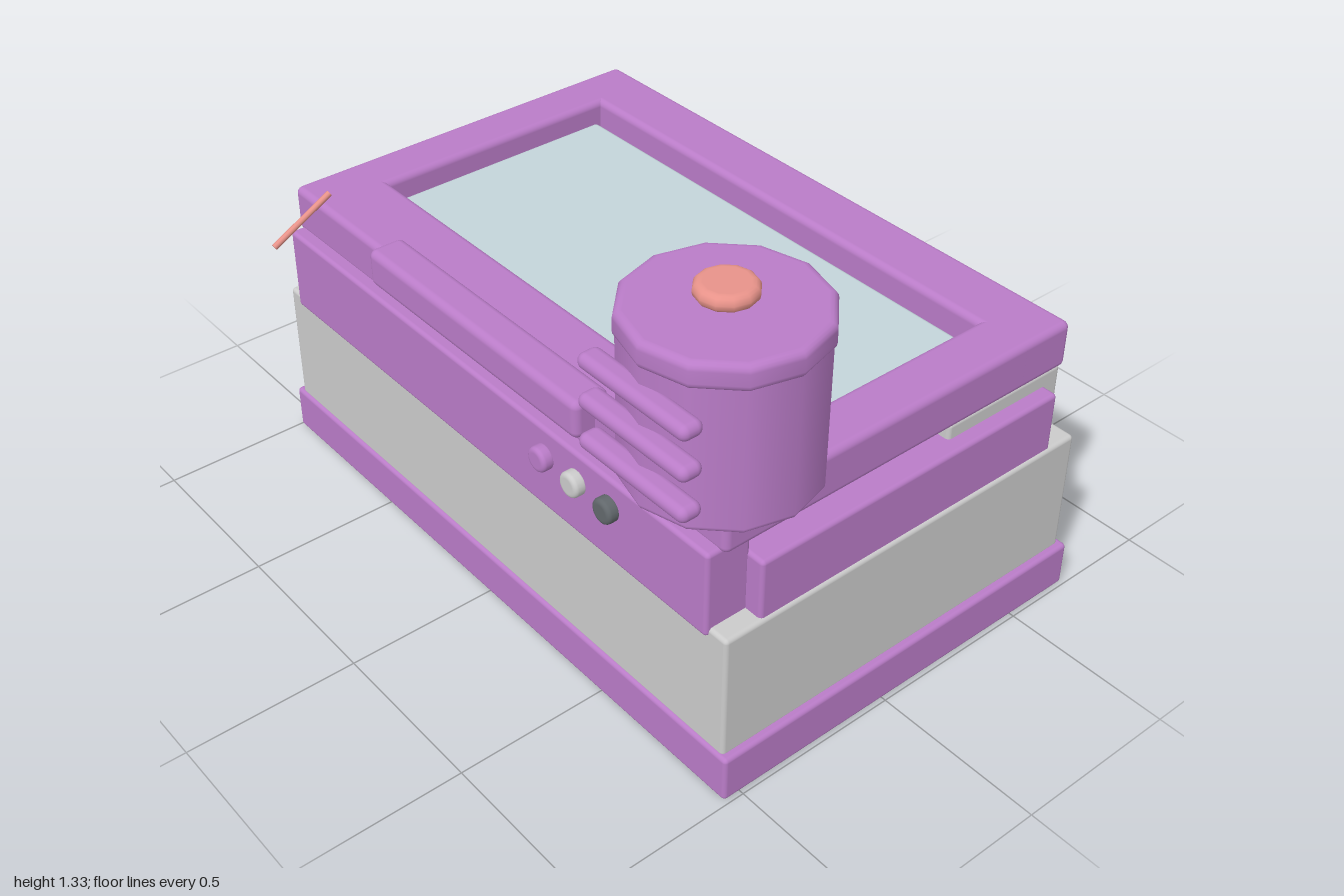
import * as THREE from 'three';
import { RoundedBoxGeometry } from 'three/addons/geometries/RoundedBoxGeometry.js';

const mat = (color) => new THREE.MeshStandardMaterial({ color });

export function createModel() {
  const model = new THREE.Group();
  const purple = mat(0xba7cc8), grey = mat(0xcccccc), dark = mat(0x62686c);
  const salmon = mat(0xe8938a), glass = mat(0xc3d4da);

  const add = (name, geometry, material) => {
    const mesh = new THREE.Mesh(geometry, material);
    mesh.name = name;
    model.add(mesh);
    return mesh;
  };

  // Soft-edged box given by its extents on each axis
  const box = (name, material, [x0, x1], [y0, y1], [z0, z1], r = 0.012) => {
    const mesh = add(name, new RoundedBoxGeometry(x1 - x0, y1 - y0, z1 - z0, 3, r), material);
    mesh.position.set((x0 + x1) / 2, (y0 + y1) / 2, (z0 + z1) / 2);
    return mesh;
  };

  // Round part with bevelled rims, standing on y = 0
  const drum = (radius, height, bevel, sides) => {
    const pts = [new THREE.Vector2(0, 0), new THREE.Vector2(radius - bevel - 0.003, 0)];
    for (let i = 0; i <= 4; i++) {
      const a = (i / 4) * Math.PI / 2;
      pts.push(new THREE.Vector2(radius - bevel + bevel * Math.sin(a), bevel - bevel * Math.cos(a)));
    }
    for (let i = 0; i <= 4; i++) {
      const a = (i / 4) * Math.PI / 2;
      pts.push(new THREE.Vector2(radius - bevel + bevel * Math.cos(a), height - bevel + 0.0005 + bevel * Math.sin(a)));
    }
    pts.push(new THREE.Vector2(radius - bevel - 0.003, height + 0.0005), new THREE.Vector2(0, height + 0.0005));
    return new THREE.LatheGeometry(pts, sides);
  };

  // Lower housing
  box('base', purple, [-1, 0.99], [0, 0.14], [-0.71, 0.555]);
  box('body', grey, [-0.98, 0.968], [0.13, 0.515], [-0.695, 0.545]);
  box('rearBlock', grey, [-0.93, 0.915], [0.5, 0.735], [-0.66, -0.24]);
  box('frontPanel', purple, [-0.92, 0.907], [0.49, 0.745], [0.42, 0.555]);
  box('rightSidePanel', purple, [-0.97, -0.87], [0.5, 0.69], [-0.605, 0.43]);
  box('leftSidePanel', purple, [0.86, 0.96], [0.5, 0.69], [-0.605, 0.43]);

  // Lid: four rails around a pane
  const railY = [0.73, 0.87];
  box('frontRail', purple, [-0.94, 0.923], railY, [0.292, 0.515], 0.02);
  box('backRail', purple, [-0.94, 0.923], railY, [-0.67, -0.482], 0.02);
  box('rightRail', purple, [-0.94, -0.787], railY, [-0.52, 0.33], 0.02);
  box('leftRail', purple, [0.768, 0.923], railY, [-0.52, 0.33], 0.02);
  box('pane', glass, [-0.785, 0.768], [0.745, 0.805], [-0.465, 0.292], 0.015);
  box('handle', purple, [-0.46, 0.445], [0.803, 0.915], [0.465, 0.575], 0.022);

  // Control knobs
  [[0.29, purple], [0.42, grey], [0.55, dark]].forEach(([x, material]) => {
    const knob = add('knob', drum(0.036, 0.04, 0.012, 20), material);
    knob.rotation.x = Math.PI / 2;
    knob.position.set(x, 0.66, 0.546);
  });

  // Twelve-sided tower with cap, top button and front ribs
  const tx = 0.732, tz = 0.36;
  add('tower', drum(0.254, 0.42, 0.016, 12), purple).position.set(tx, 0.802, tz);
  add('towerCap', drum(0.26, 0.072, 0.02, 12), purple).position.set(tx, 1.202, tz);
  add('topButton', drum(0.08, 0.043, 0.02, 12), salmon).position.set(tx, 1.285, tz);
  for (const y of [0.912, 1.027, 1.14]) {
    box('towerRib', purple, [0.545, 0.925], [y - 0.022, y + 0.022], [0.583, 0.65], 0.0215);
  }

  // Thin lever sloping forward from the lid
  const top = new THREE.Vector3(-0.74, 0.938, 0.515), tip = new THREE.Vector3(-0.74, 0.835, 0.703);
  const lever = add('lever', new THREE.CylinderGeometry(0.009, 0.009, top.distanceTo(tip), 10), salmon);
  lever.position.copy(top).add(tip).multiplyScalar(0.5);
  lever.quaternion.setFromUnitVectors(new THREE.Vector3(0, 1, 0), top.clone().sub(tip).normalize());

  return model;
}
